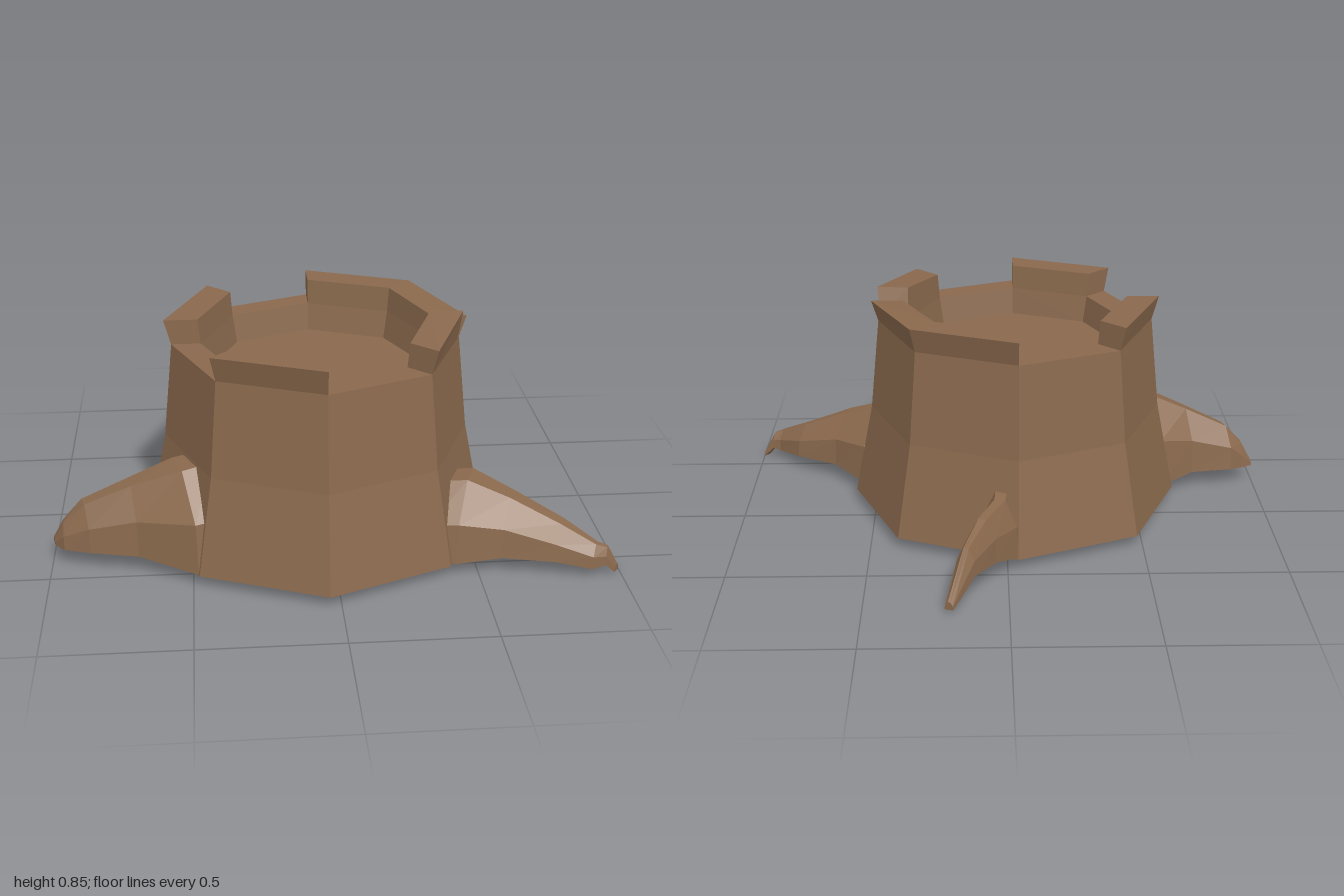
import * as THREE from 'three';

const CX = -0.04, CZ = 0.155; // trunk axis

// Skins closed loops of points [x, y, z] and caps both ends; flat facets.
function loft(loops) {
  const pos = [];
  const tri = (a, b, c) => pos.push(...a, ...b, ...c);
  const n = loops[0].length, last = loops[loops.length - 1];
  for (let i = 0; i < loops.length - 1; i++) {
    for (let j = 0; j < n; j++) {
      const k = (j + 1) % n, p = loops[i], q = loops[i + 1];
      tri(p[j], p[k], q[j]);
      tri(p[k], q[k], q[j]);
    }
  }
  for (let j = 1; j < n - 1; j++) {
    tri(last[0], last[j], last[j + 1]);
    tri(loops[0][0], loops[0][j + 1], loops[0][j]);
  }
  const g = new THREE.BufferGeometry();
  g.setAttribute('position', new THREE.Float32BufferAttribute(pos, 3));
  g.computeVertexNormals();
  return g;
}

// Arched root: each section is [ax, az, bx, bz, bottom, top].
const ARCH = [[0, 0], [0.05, 0.55], [0.35, 1], [0.62, 1], [0.95, 0.55], [1, 0]];
function rootGeometry(sections) {
  return loft(sections.map(([ax, az, bx, bz, lo, hi]) =>
    ARCH.map(([t, h]) => [ax + (bx - ax) * t, lo + (hi - lo) * h, az + (bz - az) * t])));
}

// Point on an eight-sided ring; s counts sides from +x towards +z.
function ringPoint(s, r, y) {
  const i = Math.floor(s), f = s - i;
  const a = i * Math.PI / 4, b = (i + 1) * Math.PI / 4;
  return [
    CX + r * (Math.cos(a) * (1 - f) + Math.cos(b) * f),
    y,
    CZ + r * (Math.sin(a) * (1 - f) + Math.sin(b) * f),
  ];
}

// Raised bark piece on one side of the rim, flaring outward.
function barkGeometry(s0, s1, y0, y1, topStart = s0) {
  const end = (sBottom, sTop, y) => [
    ringPoint(sBottom, 0.515, 0.735), ringPoint(sTop, 0.54, y),
    ringPoint(sTop, 0.42, y), ringPoint(sBottom, 0.41, 0.735),
  ];
  return loft([end(s0, topStart, y0), end(s1, s1, y1)]);
}

export function createModel() {
  const group = new THREE.Group();
  const bark = new THREE.MeshStandardMaterial({ color: 0x8a694d });
  bark.name = 'brown bark';
  const add = (name, geometry) => {
    const mesh = new THREE.Mesh(geometry, bark);
    mesh.name = name;
    group.add(mesh);
    return mesh;
  };

  // Hollow-topped eight-sided trunk
  const profile = [[0, 0.04], [0.62, 0.04], [0.55, 0.39], [0.515, 0.735],
    [0.41, 0.735], [0.39, 0.635], [0, 0.635]].map(([r, y]) => new THREE.Vector2(r, y));
  const trunk = new THREE.LatheGeometry(profile, 8).toNonIndexed();
  trunk.computeVertexNormals();
  add('trunk', trunk).position.set(CX, 0, CZ);

  // Broken bark pieces around the rim
  const e = 0.0001;
  [
    [0.05, 1 - e, 0.85, 0.825, 0.14],
    [2, 3 - e, 0.825, 0.825],
    [4, 5 - e, 0.825, 0.825],
    [6, 7 - e, 0.825, 0.825],
    [7, 8 - e, 0.825, 0.812],
  ].forEach((p, i) => add('rimBark' + (i + 1), barkGeometry(...p)));

  // Broad root on the -x side
  add('rightRoot', rootGeometry([
    [-0.38, 0.56, -0.52, 0.16, 0.04, 0.39],
    [-0.48, 0.585, -0.62, 0.16, 0.04, 0.37],
    [-0.69, 0.48, -0.75, 0.235, 0.065, 0.3],
    [-0.86, 0.44, -0.91, 0.26, 0.065, 0.225],
    [-0.955, 0.4, -0.96, 0.29, 0.06, 0.15],
    [-0.99, 0.36, -1, 0.31, 0.06, 0.08],
  ]));

  // Long root on the +x side
  add('leftRoot', rootGeometry([
    [0.45, 0.2, 0.32, 0.56, 0.04, 0.29],
    [0.56, 0.22, 0.42, 0.58, 0.04, 0.3],
    [0.68, 0.35, 0.58, 0.585, 0.06, 0.25],
    [0.84, 0.45, 0.76, 0.62, 0.055, 0.17],
    [0.93, 0.56, 0.89, 0.645, 0.035, 0.115],
    [0.96, 0.575, 0.94, 0.63, 0.04, 0.1],
    [1, 0.585, 0.98, 0.61, 0, 0.025],
  ]));

  // Thin root at the back
  add('backRoot', rootGeometry([
    [-0.06, -0.36, 0.1, -0.33, 0.04, 0.28],
    [-0.04, -0.45, 0.1, -0.42, 0.04, 0.262],
    [0.04, -0.55, 0.145, -0.52, 0.075, 0.235],
    [0.115, -0.66, 0.18, -0.63, 0.08, 0.18],
    [0.19, -0.775, 0.22, -0.765, 0.012, 0.04],
  ]));

  return group;
}
